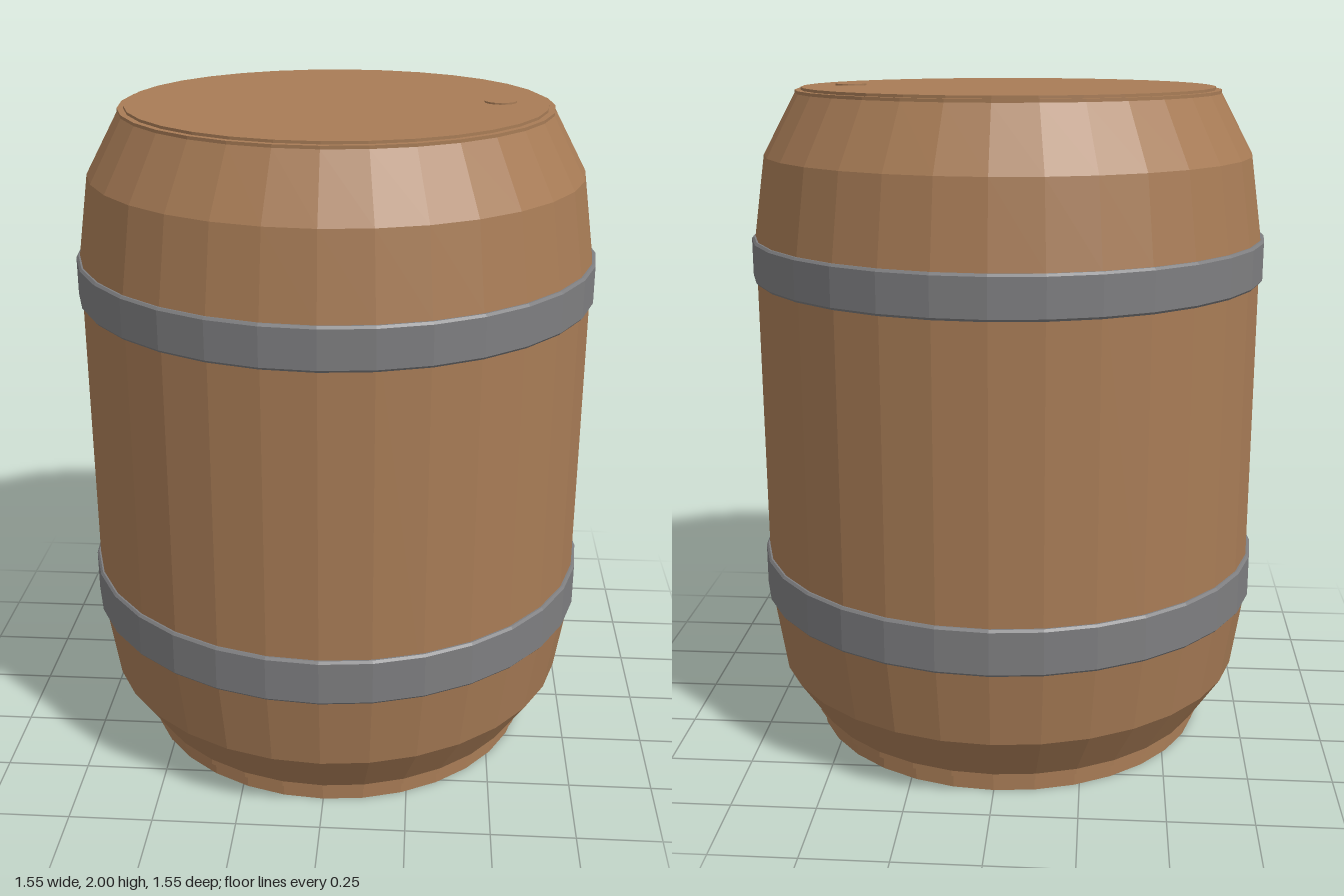
import * as THREE from 'three';

const SIDES = 32;

export function createModel() {
  const wood = new THREE.MeshStandardMaterial({ color: 0xa87c56 });
  wood.name = 'wood';
  const iron = new THREE.MeshStandardMaterial({ color: 0x7e7e80 });
  iron.name = 'iron';
  const barrel = new THREE.Group();
  barrel.name = 'barrel';

  // Turns a bottom-to-top [radius, height] profile into a faceted part
  const turned = (name, profile, material, sides = SIDES) => {
    const points = profile.map(([r, y]) => new THREE.Vector2(r, y));
    const flat = new THREE.LatheGeometry(points, sides).toNonIndexed();
    flat.computeVertexNormals();
    const mesh = new THREE.Mesh(flat, material);
    mesh.name = name;
    barrel.add(mesh);
    return mesh;
  };

  // Bulging wall of staves with a thin lip at each end
  turned('staves', [
    [0.6, 0.045], [0.633, 0.045], [0.633, 0.062], [0.73, 0.21], [0.765, 0.44],
    [0.765, 1.56], [0.73, 1.8], [0.633, 1.978], [0.633, 1.987], [0.6, 1.987],
  ], wood);

  // Closed ends
  turned('base', [[0, 0], [0.615, 0], [0.615, 0.05]], wood);
  turned('lid', [[0.615, 1.975], [0.615, 1.995], [0, 1.995]], wood);

  // Metal hoops
  for (const [name, low, high] of [['lowerHoop', 0.44, 0.58], ['upperHoop', 1.435, 1.56]]) {
    turned(name, [
      [0.755, low], [0.77, low], [0.776, low + 0.007],
      [0.776, high - 0.007], [0.77, high], [0.755, high],
    ], iron);
  }

  // Small stopper in the lid
  const stopper = turned('stopper', [[0.047, 1.99], [0.047, 2], [0, 2]], wood, 16);
  stopper.position.x = 0.475;

  return barrel;
}
